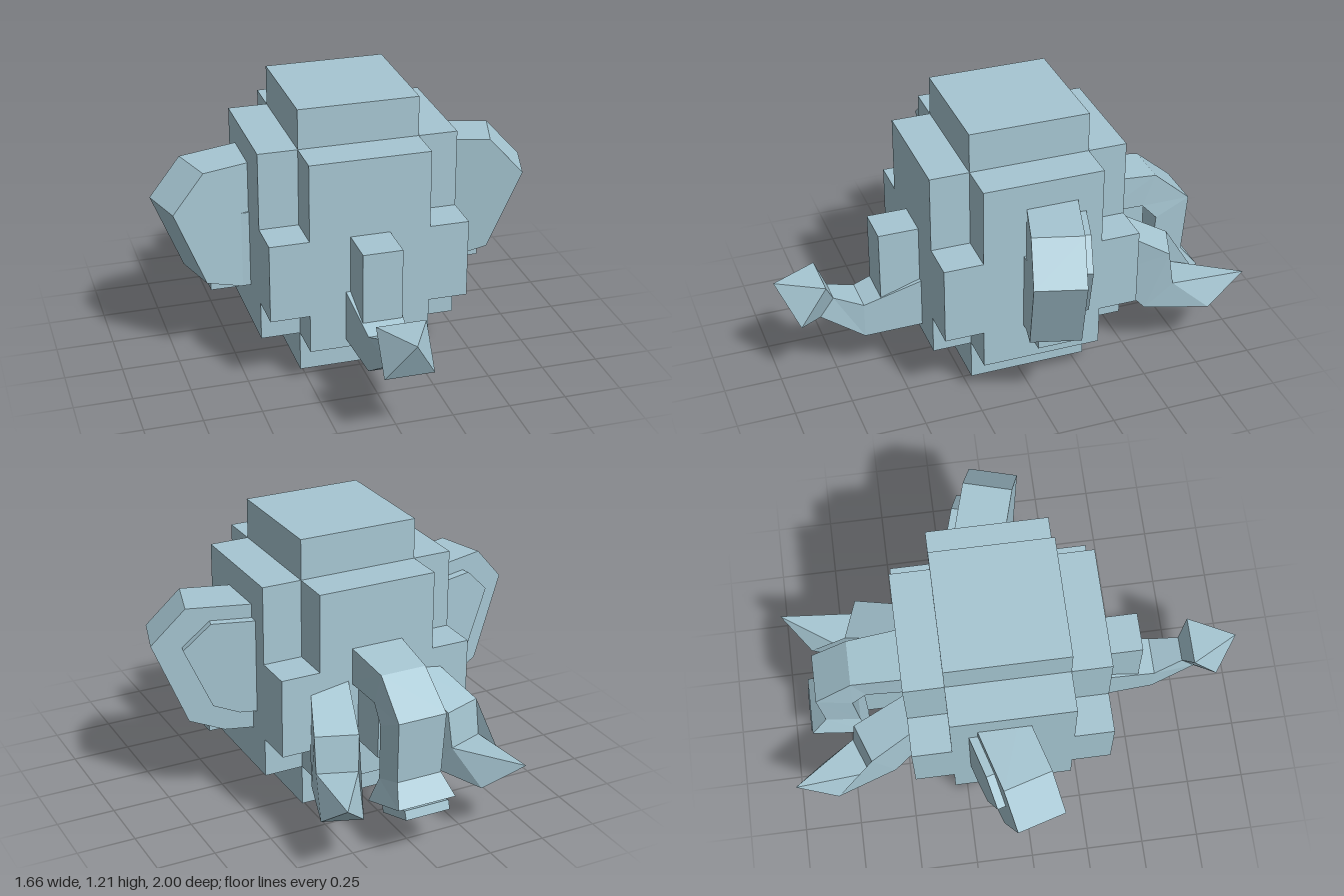
import * as THREE from 'three';

const skin = new THREE.MeshStandardMaterial({ color: 0xa6c6d2 });
skin.name = 'paleBlue';

function mesh(geometry, name) {
  const m = new THREE.Mesh(geometry, skin);
  m.name = name;
  return m;
}

// Box given by its extents
function box(name, x0, x1, y0, y1, z0, z1) {
  const m = mesh(new THREE.BoxGeometry(x1 - x0, y1 - y0, z1 - z0), name);
  m.position.set((x0 + x1) / 2, (y0 + y1) / 2, (z0 + z1) / 2);
  return m;
}

// Faceted loft through four-cornered sections: [zTop, yTop, zBottom, yBottom, halfWidth]
function loft(name, sections) {
  const rings = sections.map(([zt, yt, zb, yb, w]) => [[w, yt, zt], [-w, yt, zt], [-w, yb, zb], [w, yb, zb]]);
  const forward = sections[sections.length - 1][0] > sections[0][0];
  const pos = [];
  const quad = (a, b, c, d) => {
    const order = forward ? [a, b, c, a, c, d] : [a, c, b, a, d, c];
    order.forEach((p) => pos.push(...p));
  };
  for (let r = 0; r < rings.length - 1; r++) {
    for (let i = 0; i < 4; i++) {
      const j = (i + 1) % 4;
      quad(rings[r][i], rings[r][j], rings[r + 1][j], rings[r + 1][i]);
    }
  }
  const s = rings[0], e = rings[rings.length - 1];
  quad(s[3], s[2], s[1], s[0]);
  quad(e[0], e[1], e[2], e[3]);
  const g = new THREE.BufferGeometry();
  g.setAttribute('position', new THREE.Float32BufferAttribute(pos, 3));
  g.computeVertexNormals();
  return mesh(g, name);
}

// Flat slab cut from an outline, mirrored by side, between z0 and z1
function slab(name, outline, side, z0, z1) {
  const shape = new THREE.Shape(outline.map(([x, y]) => new THREE.Vector2(x * side, y)));
  const g = new THREE.ExtrudeGeometry(shape, { depth: z1 - z0, bevelEnabled: false });
  g.translate(0, 0, z0);
  return mesh(g, name);
}

export function createModel() {
  const model = new THREE.Group();
  model.name = 'blockElephant';

  // Stepped block body
  const body = new THREE.Group();
  body.name = 'body';
  body.add(
    box('bodyColumn', -0.26, 0.26, 0, 1.21, -0.305, 0.215),
    box('bodyLengthBlock', -0.26, 0.26, 0.18, 1.035, -0.475, 0.385),
    box('bodyWidthBlock', -0.43, 0.43, 0.18, 1.035, -0.305, 0.215),
    box('bodyMiddleBlock', -0.43, 0.43, 0.35, 0.695, -0.475, 0.385),
    box('sideStub', -0.605, 0.605, 0.35, 0.695, -0.13, 0.04),
    box('endStub', -0.085, 0.085, 0.35, 0.695, -0.65, 0.56)
  );
  model.add(body);

  // Tail with a pointed tuft
  model.add(loft('tail', [
    [0.36, 0.45, 0.36, 0.22, 0.107],
    [0.635, 0.36, 0.635, 0.2, 0.083],
    [0.76, 0.41, 0.82, 0.325, 0.055],
    [0.80, 0.5, 0.915, 0.325, 0.105],
    [1.0, 0.505, 1.0, 0.505, 0]
  ]));

  // Trunk with a flared end and a thin end pad
  model.add(loft('trunk', [
    [-0.45, 0.775, -0.45, 0.615, 0.115],
    [-0.695, 0.745, -0.64, 0.6, 0.1],
    [-0.857, 0.605, -0.705, 0.53, 0.107],
    [-0.84, 0.335, -0.69, 0.28, 0.1],
    [-0.91, 0.25, -0.655, 0.165, 0.13]
  ]));
  const pad = mesh(new THREE.BoxGeometry(0.2, 0.04, 0.2), 'trunkEndPad');
  pad.position.set(0, 0.19, -0.817);
  pad.rotation.x = 0.32;
  model.add(pad);

  const earOutline = [[-0.1, 0.92], [0.208, 0.92], [0.354, 0.765], [0.208, 0.41], [0.06, 0.357], [-0.1, 0.357]];
  const innerOutline = [[-0.1, 0.86], [0.11, 0.86], [0.226, 0.75], [0.11, 0.49], [0.0, 0.45], [-0.1, 0.45]];
  for (const side of [1, -1]) {
    const label = side > 0 ? 'left' : 'right';

    // Angled ear with a raised inner panel
    const ear = new THREE.Group();
    ear.name = label + 'Ear';
    ear.add(slab('earSlab', earOutline, side, -0.214, 0));
    ear.add(slab('earInnerPanel', innerOutline, side, -0.25, -0.21));
    ear.position.set(0.43 * side, 0, 0.03);
    ear.rotation.y = -0.28 * side;
    model.add(ear);

    // Splayed tusk, turned up at the tip
    const tusk = loft(label + 'Tusk', [
      [0.05, 0.64, 0.05, 0.4, 0.078],
      [-0.218, 0.515, -0.122, 0.235, 0.09],
      [-0.24, 0.36, -0.4, 0.235, 0.085],
      [-0.555, 0.365, -0.555, 0.365, 0]
    ]);
    tusk.position.set(0.215 * side, 0, -0.475);
    tusk.rotation.y = -0.345 * side;
    model.add(tusk);
  }
  return model;
}
